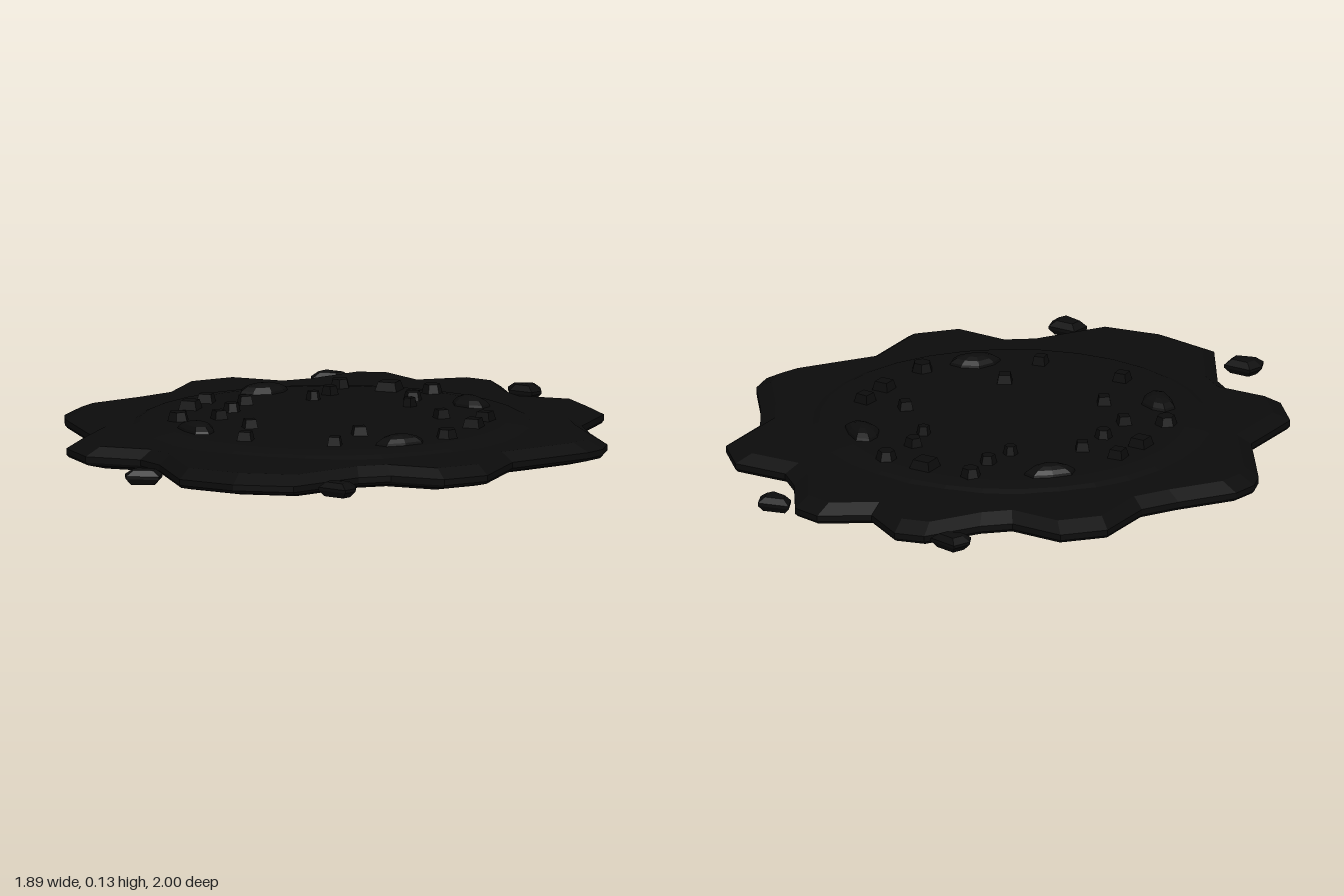
import * as THREE from 'three';

const dark = new THREE.MeshStandardMaterial({ color: 0x0c0c0c, flatShading: true });

// Closed solid from one outline [x, z] (clockwise from above), scaled about its centre at each [y, scale].
function loft(outline, sections, cx, cz, bottomY, topY) {
  const n = outline.length, pos = [], idx = [];
  for (const [y, s] of sections)
    for (const [x, z] of outline) pos.push(cx + (x - cx) * s, y, cz + (z - cz) * s);
  const low = pos.length / 3, high = low + 1, last = (sections.length - 1) * n;
  pos.push(cx, bottomY, cz, cx, topY, cz);
  for (let i = 0; i < n; i++) {
    const j = (i + 1) % n;
    for (let k = 0; k < last; k += n)
      idx.push(k + j, k + i, k + n + i, k + j, k + n + i, k + n + j);
    idx.push(low, i, j, high, last + j, last + i);
  }
  const g = new THREE.BufferGeometry();
  g.setAttribute('position', new THREE.Float32BufferAttribute(pos, 3));
  g.setIndex(idx);
  g.computeVertexNormals();
  return g;
}

const mirrorX = (pts) => pts.map(([x, z]) => [-x, z]).reverse();

export function createModel() {
  const model = new THREE.Group();
  const add = (name, geometry, x = 0, y = 0, z = 0, turn = 0) => {
    const m = new THREE.Mesh(geometry, dark);
    m.name = name;
    m.position.set(x, y, z);
    m.rotation.y = turn;
    model.add(m);
    return m;
  };

  // Star-shaped slab with a bevelled rim
  const half = [
    [0.15, -1], [0.25, -0.975], [0.36, -0.8], [0.44, -0.725], [0.63, -0.73],
    [0.74, -0.61], [0.74, -0.39], [0.81, -0.27], [0.93, -0.1], [0.945, -0.01],
    [0.92, 0.06], [0.82, 0.2], [0.74, 0.31], [0.74, 0.56], [0.63, 0.68],
    [0.44, 0.675], [0.35, 0.74], [0.2, 0.965],
  ];
  const outline = [[0, -0.9], ...half, [0, 1], ...mirrorX(half)];
  add('slab', loft(outline, [[0.004, 0.92], [0.02, 0.99], [0.03, 1], [0.05, 1], [0.08, 0.94]], 0, 0, 0, 0.096));

  // Low round plateau in the middle
  const profile = [[0.67, 0.08], [0.64, 0.092], [0.58, 0.1], [0, 0.101]]
    .map(([r, y]) => new THREE.Vector2(r, y));
  add('plateau', new THREE.LatheGeometry(profile, 32));

  // Loose chips beyond the corners
  const backChip = [[0.275, -0.975], [0.38, -1], [0.405, -0.94], [0.385, -0.9], [0.3, -0.92]];
  const frontChip = [[0.29, 0.88], [0.39, 0.88], [0.405, 0.93], [0.385, 0.975], [0.28, 0.945]];
  for (const chip of [backChip, frontChip]) {
    const cz = chip === backChip ? -0.95 : 0.925;
    const levels = [[0.02, 0.7], [0.04, 1], [0.05, 1], [0.068, 0.6]];
    add('leftChip', loft(chip, levels, 0.34, cz, 0.02, 0.07));
    add('rightChip', loft(mirrorX(chip), levels, -0.34, cz, 0.02, 0.07));
  }

  // Small tapered studs: x, z, width, sides, turn
  const studs = [
    [0.01, -0.54, 0.085, 4, 0], [-0.16, -0.53, 0.07, 6, 0.3], [0.16, -0.54, 0.07, 6, 0],
    [-0.15, -0.4, 0.06, 5, 0.4], [0.145, -0.39, 0.065, 5, 1], [-0.17, -0.29, 0.05, 6, 0],
    [0.17, -0.285, 0.05, 5, 0.5], [-0.49, -0.13, 0.06, 4, 0.1], [0.49, -0.13, 0.06, 4, -0.1],
    [-0.355, -0.135, 0.05, 4, 0.6], [0.34, -0.12, 0.05, 4, 0.75], [-0.5, 0, 0.07, 4, 0],
    [0.495, 0, 0.065, 4, 0], [-0.355, 0, 0.06, 6, 0], [-0.35, 0.14, 0.05, 4, 0.75],
    [-0.47, 0.21, 0.075, 6, 0.2], [0.475, 0.21, 0.075, 6, 0.5], [-0.2, 0.26, 0.05, 4, 0.6],
    [0.185, 0.26, 0.055, 4, 0.5], [-0.14, 0.475, 0.055, 4, 0.1], [0.17, 0.465, 0.05, 4, 0.2],
  ];
  for (const [x, z, w, sides, turn] of studs) {
    const r = sides === 4 ? w * 0.68 : w * 0.54;
    const g = new THREE.CylinderGeometry(r * 0.72, r, 0.04, sides);
    if (sides === 4) g.rotateY(Math.PI / 4);
    add('stud', g, x, 0.11, z, turn);
  }

  // Four rugged mounds, longer along the rim
  for (const [x, z] of [[-0.37, -0.37], [0.35, -0.38], [-0.35, 0.36], [0.36, 0.36]]) {
    const g = new THREE.SphereGeometry(1, 8, 4, 0, Math.PI * 2, 0, Math.PI / 2);
    const p = g.attributes.position;
    for (let i = 0; i < p.count; i++) {
      const bump = 1 + 0.1 * Math.sin(3 * Math.atan2(p.getZ(i), p.getX(i)));
      p.setXYZ(i, p.getX(i) * 0.09 * bump, p.getY(i) * 0.038, p.getZ(i) * 0.055 * bump);
    }
    g.computeVertexNormals();
    add('mound', g, x, 0.094, z, Math.atan2(x, z));
  }
  return model;
}
